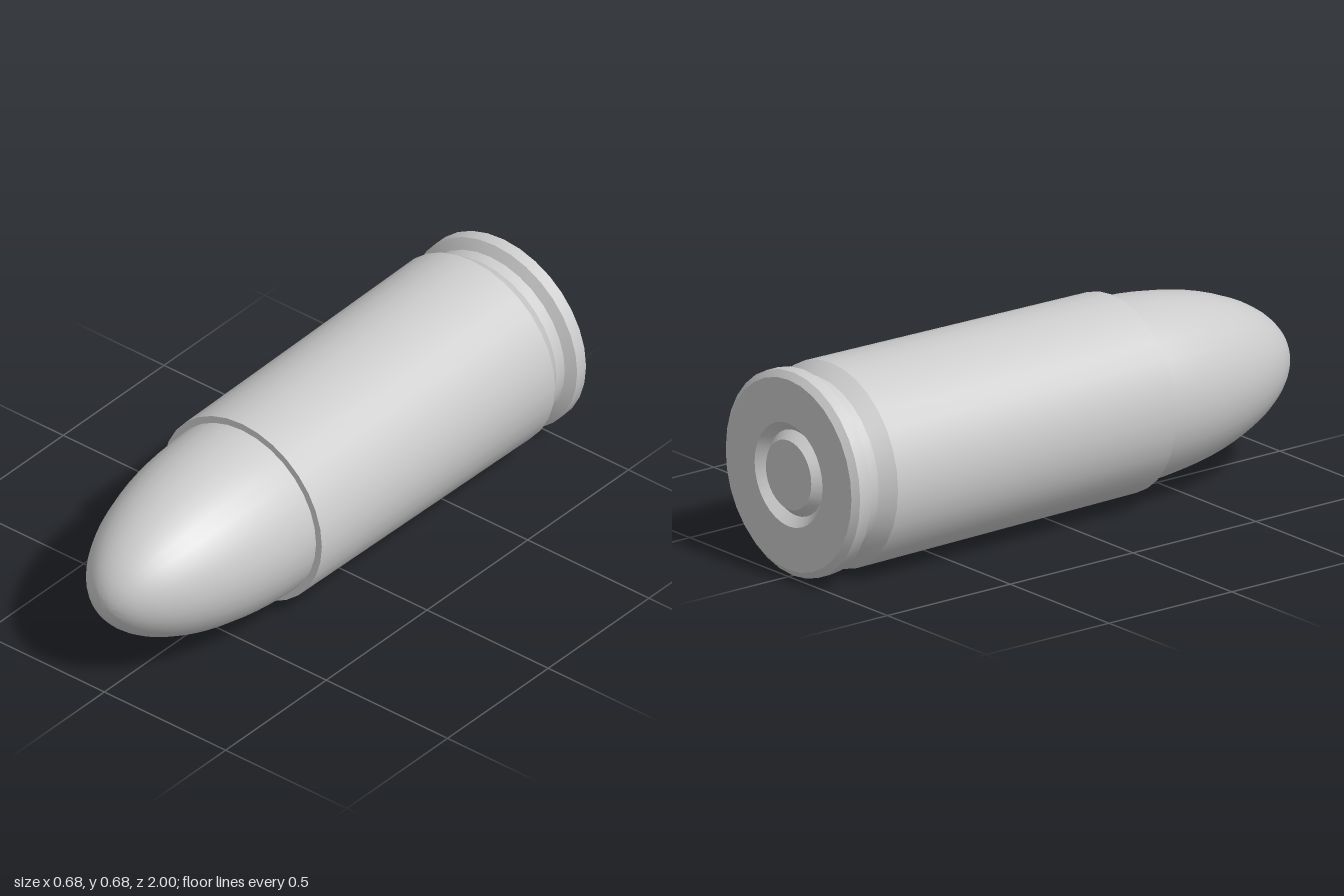
import * as THREE from 'three';
import { toCreasedNormals } from 'three/addons/utils/BufferGeometryUtils.js';

const SIDES = 32;
const AXIS_HEIGHT = 0.342;

// Turn a profile of [radius, z] points (back to front) around the long axis.
function turned(name, profile, material) {
  const points = profile.map(([r, z]) => new THREE.Vector2(r, z));
  const geometry = new THREE.LatheGeometry(points, SIDES);
  geometry.rotateX(Math.PI / 2);
  const mesh = new THREE.Mesh(toCreasedNormals(geometry, 0.4), material);
  mesh.name = name;
  mesh.position.y = AXIS_HEIGHT;
  return mesh;
}

export function createModel() {
  const model = new THREE.Group();
  model.name = 'cartridge';
  const grey = new THREE.MeshStandardMaterial({ color: 0xcccccc });

  // Case: primer pocket, chamfered rim, extractor groove, tapered wall and flat mouth
  model.add(turned('case', [
    [0.142, -0.97], [0.172, -1],
    [0.318, -1], [0.34, -0.982], [0.34, -0.938], [0.304, -0.92],
    [0.304, -0.878], [0.34, -0.828],
    [0.328, 0.315], [0.3, 0.315],
  ], grey));

  // Primer: flat disc with a sloped edge running down into the pocket
  model.add(turned('primer', [[0, -1], [0.115, -1], [0.142, -0.97]].map(([r, z]) => [r, z]), grey));

  // Bullet: half-ellipse nose seated in the case mouth
  const nose = [[0.304, 0.29]];
  const steps = 18;
  for (let i = 0; i <= steps; i++) {
    const a = (i / steps) * Math.PI / 2;
    nose.push([i === steps ? 0 : 0.304 * Math.cos(a), 0.315 + 0.685 * Math.sin(a)]);
  }
  model.add(turned('bullet', nose, grey));

  return model;
}
